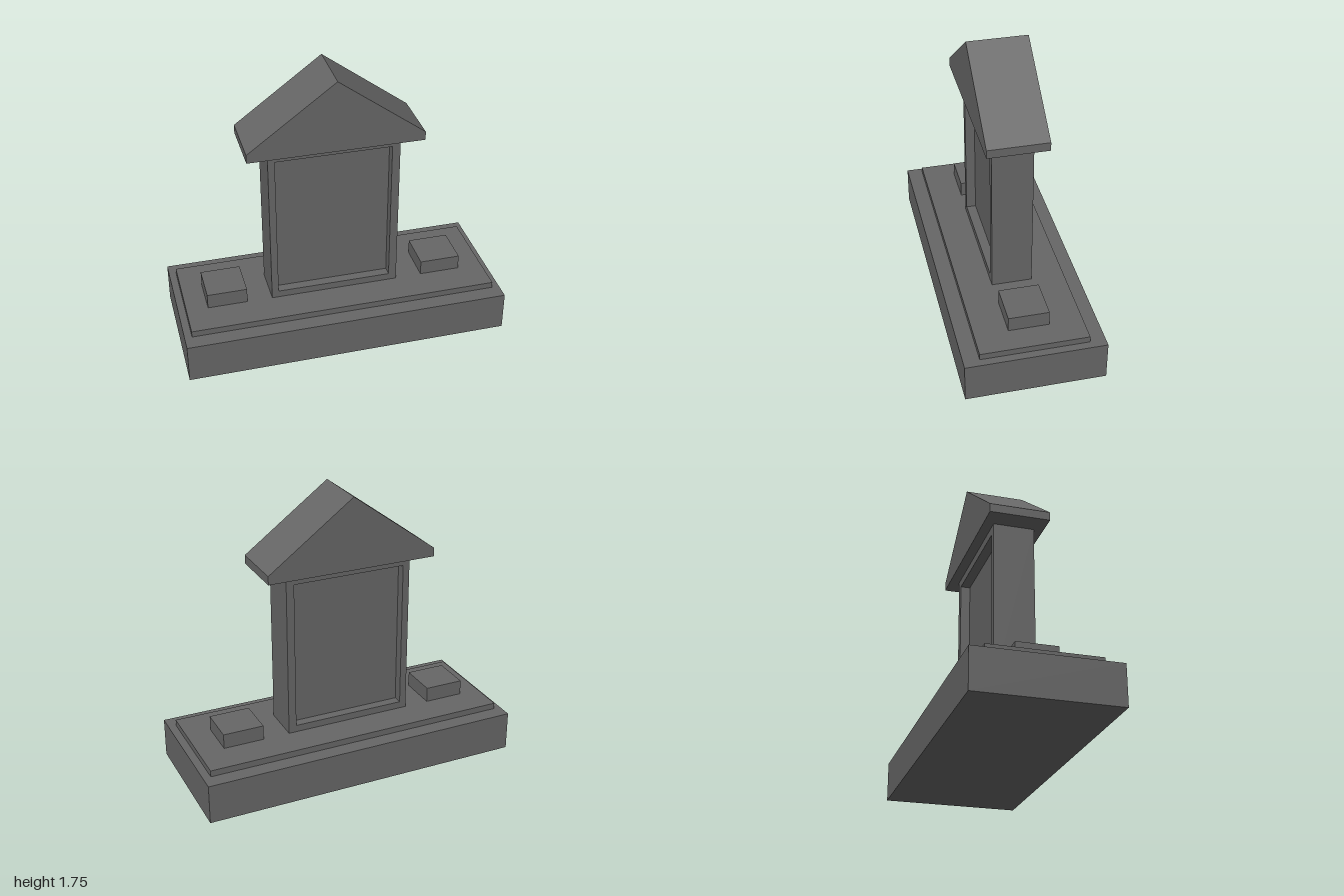
import * as THREE from 'three';

export function createModel() {
  const group = new THREE.Group();
  const stone = new THREE.MeshStandardMaterial({ color: 0x666666 });
  stone.name = 'grey stone';

  const add = (name, geometry) => {
    const mesh = new THREE.Mesh(geometry, stone);
    mesh.name = name;
    group.add(mesh);
  };
  // Box given by its limits on each axis
  const box = (name, [x0, x1], [y0, y1], [z0, z1]) => add(name,
    new THREE.BoxGeometry(x1 - x0, y1 - y0, z1 - z0)
      .translate((x0 + x1) / 2, (y0 + y1) / 2, (z0 + z1) / 2));
  // Front outline extruded from z0 to z1
  const extrude = (name, shape, z0, z1) => add(name,
    new THREE.ExtrudeGeometry(shape, { depth: z1 - z0, bevelEnabled: false }).translate(0, 0, z0));
  const points = (list) => list.map(([x, y]) => new THREE.Vector2(x, y));

  // Stepped base
  box('base', [-1, 1], [0, 0.245], [-0.422, 0.422]);
  box('baseStep', [-0.955, 0.952], [0.245, 0.284], [-0.327, 0.325]);

  // Small blocks beside the tablet
  box('rightBlock', [-0.822, -0.576], [0.284, 0.378], [-0.124, 0.122]);
  box('leftBlock', [0.543, 0.796], [0.284, 0.376], [-0.124, 0.122]);

  // Upright frame, open in the middle, around a panel recessed on both sides
  const frame = new THREE.Shape(points([[-0.421, 0.284], [0.378, 0.284], [0.378, 1.304], [-0.421, 1.304]]));
  frame.holes.push(new THREE.Path(points([[-0.379, 0.327], [-0.379, 1.252], [0.329, 1.252], [0.329, 0.327]])));
  extrude('tabletFrame', frame, -0.124, 0.124);
  box('tabletPanel', [-0.379, 0.329], [0.327, 1.252], [-0.065, 0.065]);

  // Gabled roof with short vertical eaves
  const gable = new THREE.Shape(points([
    [-0.553, 1.304], [0.51, 1.304], [0.51, 1.357], [-0.021, 1.75], [-0.553, 1.357],
  ]));
  extrude('roof', gable, -0.184, 0.182);

  return group;
}
